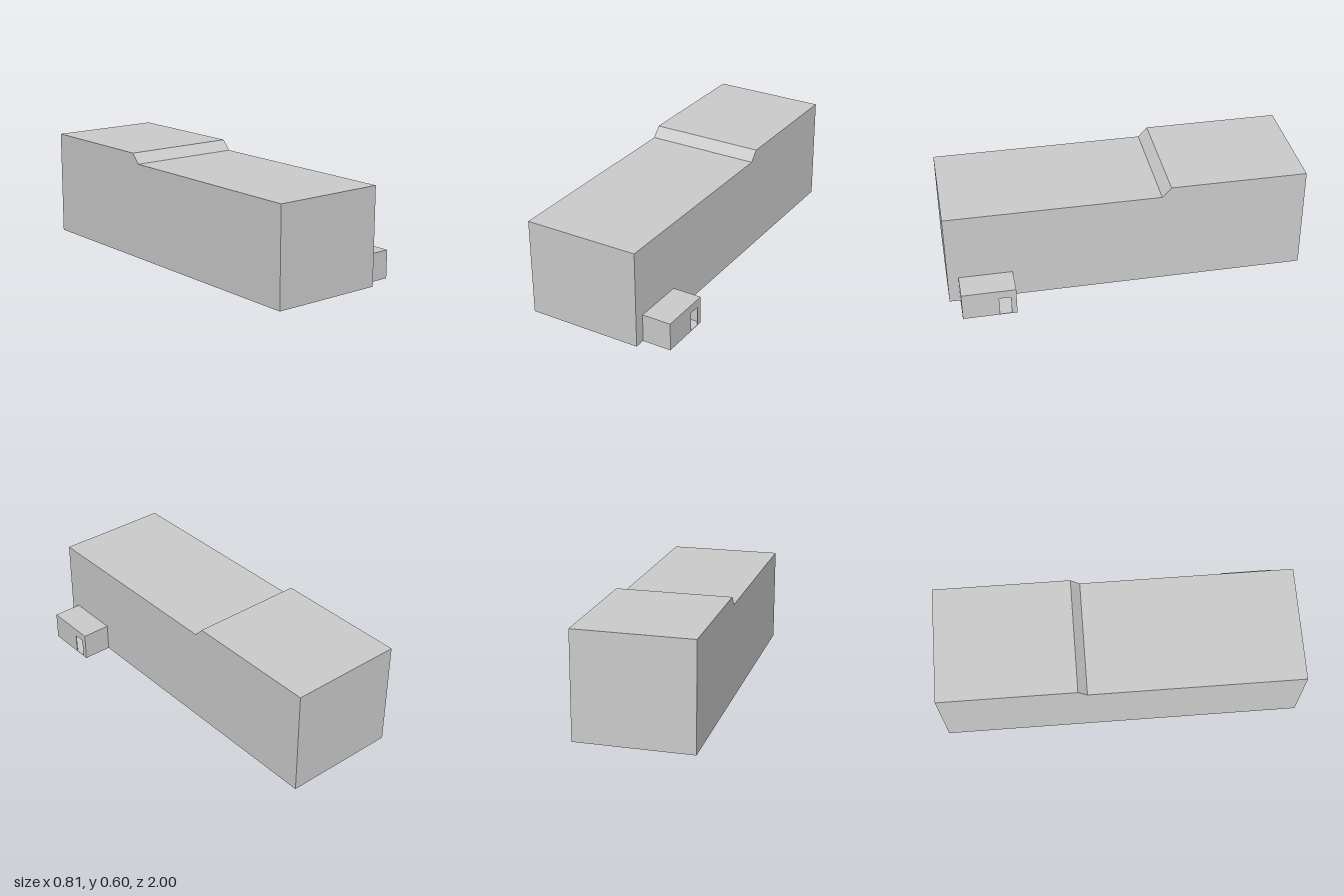
import * as THREE from 'three';

const grey = new THREE.MeshStandardMaterial({ color: 0xcccccc });
grey.name = 'plain grey';

// Extrude a side outline given as [z, y] points along x, from x0 to x1.
function sideExtrude(points, x0, x1) {
  const shape = new THREE.Shape(points.map(([z, y]) => new THREE.Vector2(-z, y)));
  const geo = new THREE.ExtrudeGeometry(shape, { depth: x1 - x0, bevelEnabled: false });
  return geo.rotateY(Math.PI / 2).translate(x0, 0, 0);
}

function addMesh(parent, name, geo) {
  const mesh = new THREE.Mesh(geo, grey);
  mesh.name = name;
  parent.add(mesh);
}

function addBox(parent, name, [x0, x1], [y0, y1], [z0, z1]) {
  const geo = new THREE.BoxGeometry(x1 - x0, y1 - y0, z1 - z0);
  addMesh(parent, name, geo.translate((x0 + x1) / 2, (y0 + y1) / 2, (z0 + z1) / 2));
}

export function createModel() {
  const model = new THREE.Group();
  model.name = 'warehouse';

  // Long hall with a raised rear roof and a sloped step between the levels
  const hall = sideExtrude(
    [[1, 0], [-1, 0], [-1, 0.597], [-0.24, 0.597], [-0.19, 0.542], [1, 0.542]],
    -0.405, 0.241);
  // The right-hand wall widens very slightly to the rear
  const pos = hall.attributes.position;
  for (let i = 0; i < pos.count; i++) {
    if (pos.getX(i) > 0) pos.setX(i, 0.2425 - 0.0015 * pos.getZ(i));
  }
  hall.computeVertexNormals();
  addMesh(model, 'hall', hall);

  // Small hollow annex with an open doorway
  const annex = new THREE.Group();
  annex.name = 'annex';
  model.add(annex);
  const t = 0.005, x0 = 0.238, x1 = 0.405, z0 = 0.643, z1 = 0.94, h = 0.157;
  addMesh(annex, 'doorWall', sideExtrude(
    [[z1, 0], [0.738, 0], [0.738, 0.11], [0.673, 0.11], [0.673, 0], [z0, 0], [z0, h], [z1, h]],
    x1 - t, x1));
  addBox(annex, 'annexRoof', [x0, x1 - t], [h - t, h], [z0, z1]);
  addBox(annex, 'annexFloor', [x0, x1], [0, 0.003], [z0, z1]);
  addBox(annex, 'annexFrontWall', [x0, x1 - t], [0, h - t], [z1 - t, z1]);
  addBox(annex, 'annexRearWall', [x0, x1 - t], [0, h - t], [z0, z0 + t]);

  return model;
}
